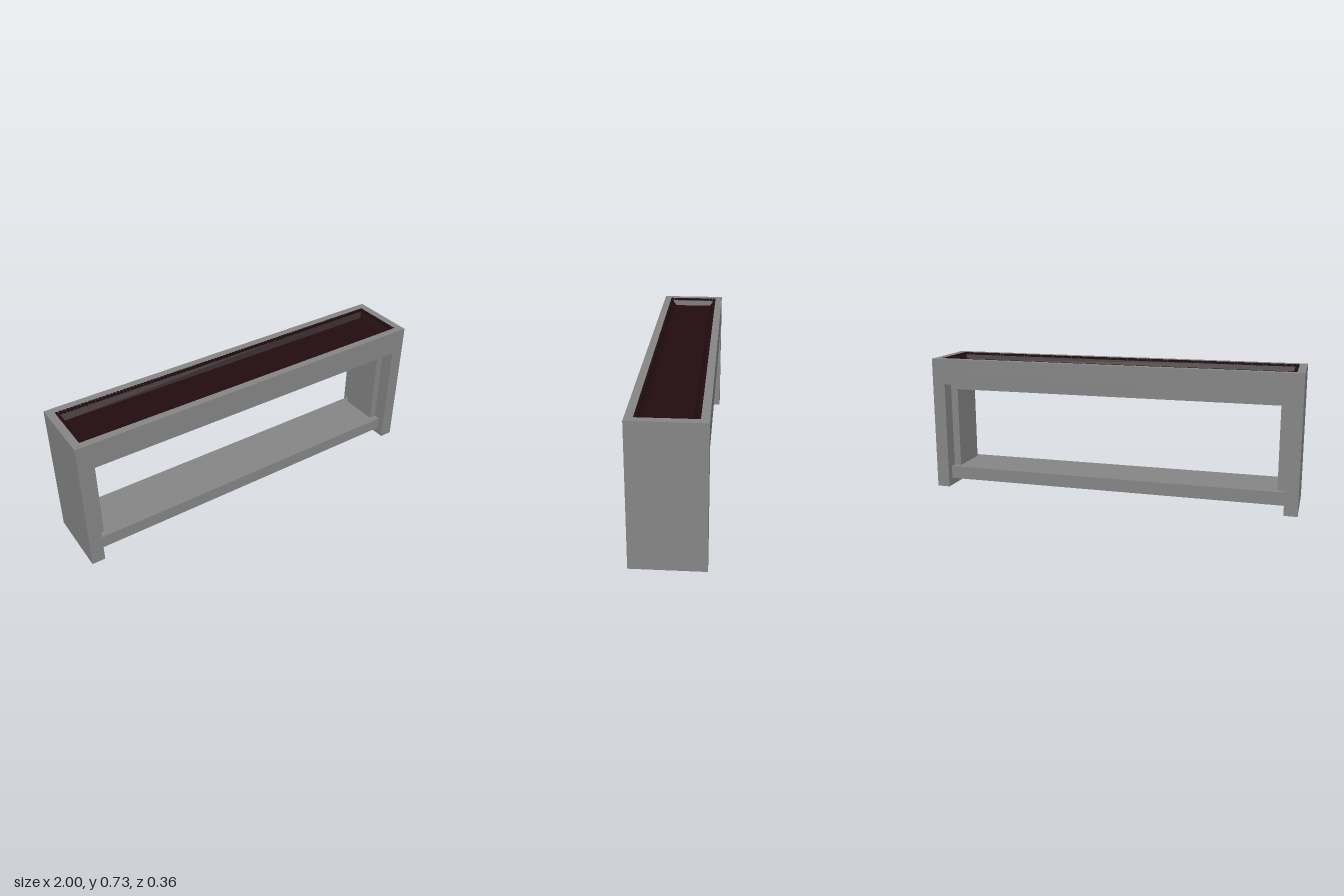
import * as THREE from 'three';
import { mergeGeometries } from 'three/addons/utils/BufferGeometryUtils.js';

const H = 0.727, D = 0.181, LEDGE = 0.685;

export function createModel() {
  const group = new THREE.Group();
  const grey = new THREE.MeshStandardMaterial({ color: 0x868686 });
  grey.name = 'stone grey';
  const dark = new THREE.MeshStandardMaterial({ color: 0x220d0f });
  dark.name = 'dark red brown';

  const add = (name, geometry, material) => {
    const mesh = new THREE.Mesh(geometry, material);
    mesh.name = name;
    group.add(mesh);
    return mesh;
  };
  // Box given by its half width, height range and half depth
  const slab = (name, x0, x1, y0, y1, halfZ) => {
    const mesh = add(name, new THREE.BoxGeometry(x1 - x0, y1 - y0, halfZ * 2), grey);
    mesh.position.set((x0 + x1) / 2, (y0 + y1) / 2, 0);
  };

  // Outer frame: two legs and the top beam in one piece
  const outline = [[-1, 0], [-0.93, 0], [-0.93, 0.588], [0.93, 0.588], [0.93, 0], [1, 0], [1, LEDGE], [-1, LEDGE]];
  const frame = new THREE.Shape(outline.map(([x, y]) => new THREE.Vector2(x, y)));
  const frameGeometry = new THREE.ExtrudeGeometry(frame, { depth: D * 2, bevelEnabled: false });
  add('outerFrame', frameGeometry.translate(0, 0, -D), grey);

  // Raised rim around the tray
  const rect = (Type, x, z) => new Type([[-x, -z], [x, -z], [x, z], [-x, z]].map(p => new THREE.Vector2(...p)));
  const rim = rect(THREE.Shape, 1, D);
  rim.holes.push(rect(THREE.Path, 0.96, 0.142));
  const rimGeometry = new THREE.ExtrudeGeometry(rim, { depth: H - LEDGE, bevelEnabled: false });
  add('topRim', rimGeometry.rotateX(-Math.PI / 2).translate(0, LEDGE, 0), grey);

  // Inner lining set back from the frame, and the low shelf
  slab('innerTopPanel', -0.93, 0.93, 0.55, 0.588, 0.107);
  for (const s of [-1, 1]) {
    const name = s > 0 ? 'innerLeftPanel' : 'innerRightPanel';
    slab(name, s * 0.91 - 0.02, s * 0.91 + 0.02, 0.11, 0.55, 0.107);
  }
  slab('lowerShelf', -0.93, 0.93, 0.04, 0.11, 0.142);

  // Sunken tray: sloping sides down to a flat floor
  const ring = (x, y, z) => [[-x, y, z], [x, y, z], [x, y, -z], [-x, y, -z]];
  const top = ring(0.96, H - 0.003, 0.142), floor = ring(0.926, LEDGE + 0.003, 0.107);
  const points = [];
  const quad = (a, b, c, d) => points.push(...a, ...b, ...c, ...a, ...c, ...d);
  quad(...floor);
  for (let i = 0; i < 4; i++) {
    const j = (i + 1) % 4;
    quad(top[i], top[j], floor[j], floor[i]);
  }
  const tray = new THREE.BufferGeometry();
  tray.setAttribute('position', new THREE.Float32BufferAttribute(points, 3));
  tray.computeVertexNormals();
  add('tray', tray, dark);

  // Fine beading along the tray edge
  const beads = [];
  const bead = (x, z) => beads.push(new THREE.CylinderGeometry(0.009, 0.009, 0.012, 8).translate(x, H - 0.006, z));
  const bx = 0.952, bz = 0.134, nx = 100, nz = 14;
  for (const s of [-1, 1]) {
    for (let i = 0; i <= nx; i++) bead(-bx + (2 * bx * i) / nx, s * bz);
    for (let i = 1; i < nz; i++) bead(s * bx, -bz + (2 * bz * i) / nz);
  }
  add('trayBeading', mergeGeometries(beads), dark);

  return group;
}
